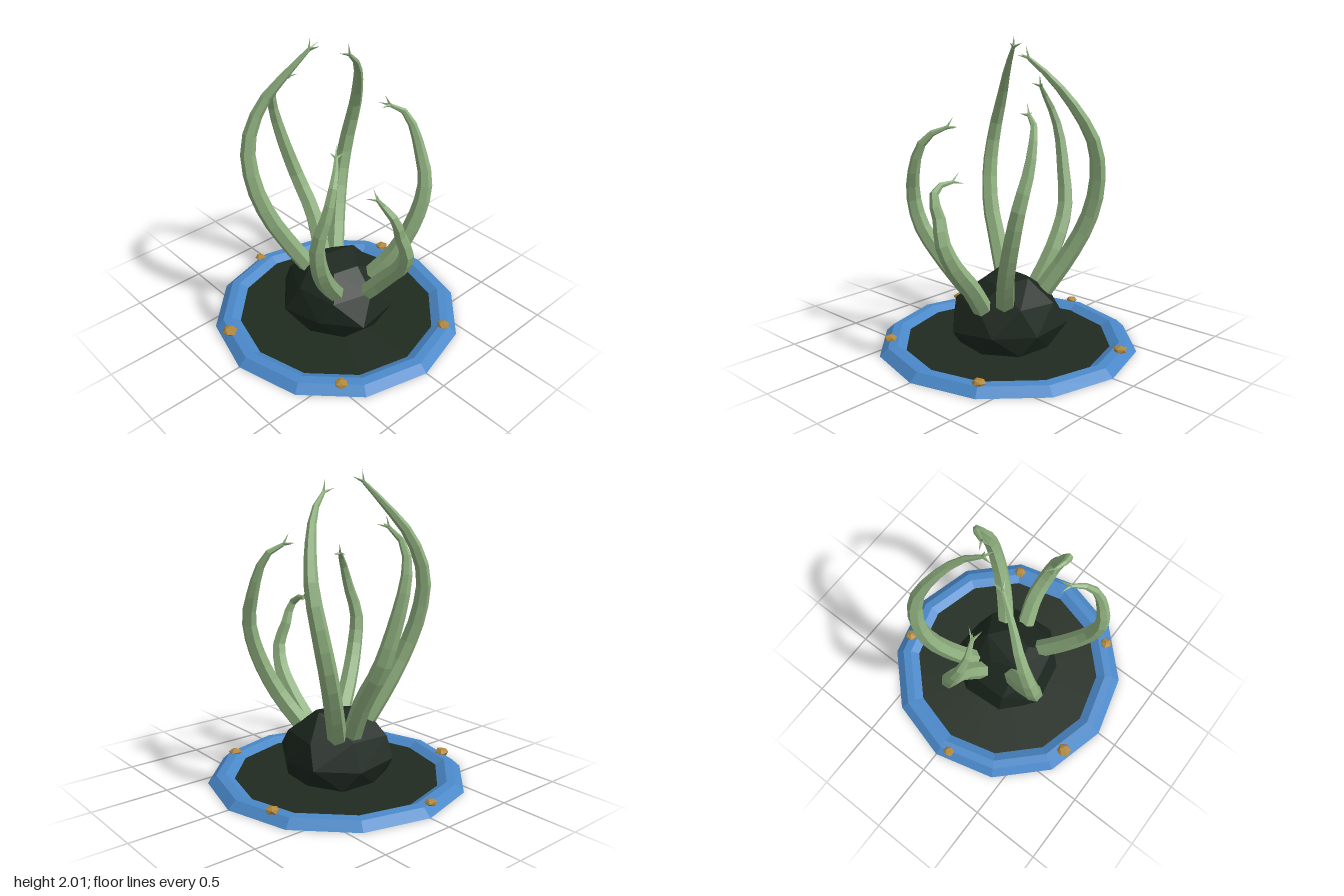
import * as THREE from 'three';
import { ConvexGeometry } from 'three/addons/geometries/ConvexGeometry.js';

function material(name, color, side = THREE.FrontSide) {
  const m = new THREE.MeshStandardMaterial({ color, side, flatShading: true });
  m.name = name;
  return m;
}

export function createModel() {
  const blue = material('rim blue', 0x4a88c8, THREE.DoubleSide);
  const soil = material('dark soil', 0x202b20, THREE.DoubleSide);
  const rock = material('dark rock', 0x1b261d);
  const green = material('pale green', 0x8fb07f, THREE.DoubleSide);
  const ochre = material('ochre', 0xb0873c);

  const model = new THREE.Group();
  const add = (name, geometry, mat, parent = model) => {
    const mesh = new THREE.Mesh(geometry, mat);
    mesh.name = name;
    parent.add(mesh);
    return mesh;
  };

  // Twelve-sided rim, open underneath
  const profile = [[0.855, 0], [0.8, 0.05], [0.742, 0.055], [0.68, 0.02]];
  add('rim', new THREE.LatheGeometry(profile.map(([r, y]) => new THREE.Vector2(r, y)), 12), blue);

  // Dark floor inside the rim
  const floor = add('floor', new THREE.CircleGeometry(0.715, 24), soil);
  floor.rotation.x = -Math.PI / 2;
  floor.position.y = 0.021;

  // Faceted mound from uneven rings
  const points = [];
  [[0.022, 0.32, 8, 0.2], [0.16, 0.385, 8, 0.5], [0.32, 0.32, 7, 0.1], [0.45, 0.16, 5, 0.4]]
    .forEach(([y, r, n, turn], k) => {
      for (let i = 0; i < n; i++) {
        const a = (i / n) * Math.PI * 2 + turn;
        const wobble = Math.sin(i * 2.7 + k * 1.9);
        const rr = r * (1 + 0.06 * wobble);
        const yy = k === 0 ? y : y + 0.02 * Math.cos(i * 3.1 + k);
        points.push(new THREE.Vector3(Math.sin(a) * rr, yy, Math.cos(a) * rr));
      }
    });
  add('mound', new ConvexGeometry(points), rock);

  // Tentacles: tapered six-sided tubes ending in small claws
  const paths = {
    backLeft: [[0.13, 0.3, -0.16], [0.28, 0.6, -0.3], [0.38, 0.85, -0.37], [0.44, 1.1, -0.37],
      [0.45, 1.35, -0.31], [0.36, 1.6, -0.19], [0.25, 1.77, -0.09], [0.14, 1.87, -0.04]],
    backRight: [[-0.11, 0.33, -0.11], [-0.27, 0.62, -0.19], [-0.38, 0.85, -0.24], [-0.44, 1.1, -0.3],
      [-0.43, 1.35, -0.34], [-0.33, 1.6, -0.31], [-0.2, 1.79, -0.22], [-0.085, 1.93, -0.15]],
    back: [[0.05, 0.3, -0.19], [0.1, 0.6, -0.36], [0.08, 0.85, -0.5], [0.02, 1.1, -0.55],
      [-0.04, 1.35, -0.57], [-0.08, 1.5, -0.54], [-0.09, 1.61, -0.47], [-0.065, 1.67, -0.4]],
    frontRight: [[-0.14, 0.3, 0.15], [-0.33, 0.56, 0.26], [-0.45, 0.78, 0.34], [-0.49, 0.98, 0.37],
      [-0.44, 1.18, 0.4], [-0.39, 1.32, 0.39], [-0.33, 1.4, 0.35], [-0.26, 1.44, 0.28]],
    front: [[0.03, 0.28, 0.25], [0.07, 0.5, 0.42], [0.06, 0.65, 0.54], [0.03, 0.8, 0.6],
      [-0.02, 0.95, 0.58], [-0.06, 1.06, 0.585], [-0.08, 1.12, 0.53], [-0.06, 1.14, 0.43]],
    frontLeft: [[0.13, 0.3, 0.16], [0.26, 0.55, 0.3], [0.37, 0.82, 0.37], [0.43, 1.05, 0.37],
      [0.44, 1.25, 0.3], [0.42, 1.42, 0.24], [0.38, 1.51, 0.19], [0.31, 1.55, 0.15]],
  };
  const SEGMENTS = 14, SIDES = 6;
  const up = new THREE.Vector3(0, 1, 0);

  for (const [name, path] of Object.entries(paths)) {
    const group = new THREE.Group();
    group.name = name + 'Tentacle';
    model.add(group);

    const curve = new THREE.CatmullRomCurve3(path.map(p => new THREE.Vector3(...p)));
    const tube = new THREE.TubeGeometry(curve, SEGMENTS, 1, SIDES);
    const pos = tube.attributes.position, v = new THREE.Vector3();
    for (let i = 0; i < pos.count; i++) {
      const t = Math.floor(i / (SIDES + 1)) / SEGMENTS;
      const centre = curve.getPointAt(t);
      const radius = 0.064 - 0.016 * t - 0.036 * t ** 3;
      v.fromBufferAttribute(pos, i).sub(centre).multiplyScalar(radius).add(centre);
      pos.setXYZ(i, v.x, v.y, v.z);
    }
    tube.computeVertexNormals();
    add('arm', tube, green, group);

    // Three claws splayed around the tip
    const tip = curve.getPointAt(1), dir = curve.getTangentAt(1);
    const side = new THREE.Vector3().crossVectors(dir, up).normalize();
    for (let i = 0; i < 3; i++) {
      const spread = side.clone().applyAxisAngle(dir, i * Math.PI * 2 / 3 + 0.5);
      const aim = dir.clone().addScaledVector(spread, 0.75).normalize();
      const claw = add('claw', new THREE.ConeGeometry(0.012, 0.085, 4).translate(0, 0.035, 0), green, group);
      claw.quaternion.setFromUnitVectors(up, aim);
      claw.position.copy(tip);
    }
  }

  // Ochre nuggets set into the rim
  [[-0.07, -0.79, 0.04], [-0.73, -0.27, 0.052], [0.72, -0.27, 0.046], [-0.5, 0.59, 0.045], [0.38, 0.66, 0.045]]
    .forEach(([x, z, r], i) => {
      const nugget = add('nugget', new THREE.IcosahedronGeometry(r, 0).rotateZ(i * 1.3), ochre);
      nugget.scale.y = 0.55;
      nugget.rotation.y = i * 1.7;
      nugget.position.set(x, 0.058, z);
    });

  return model;
}
